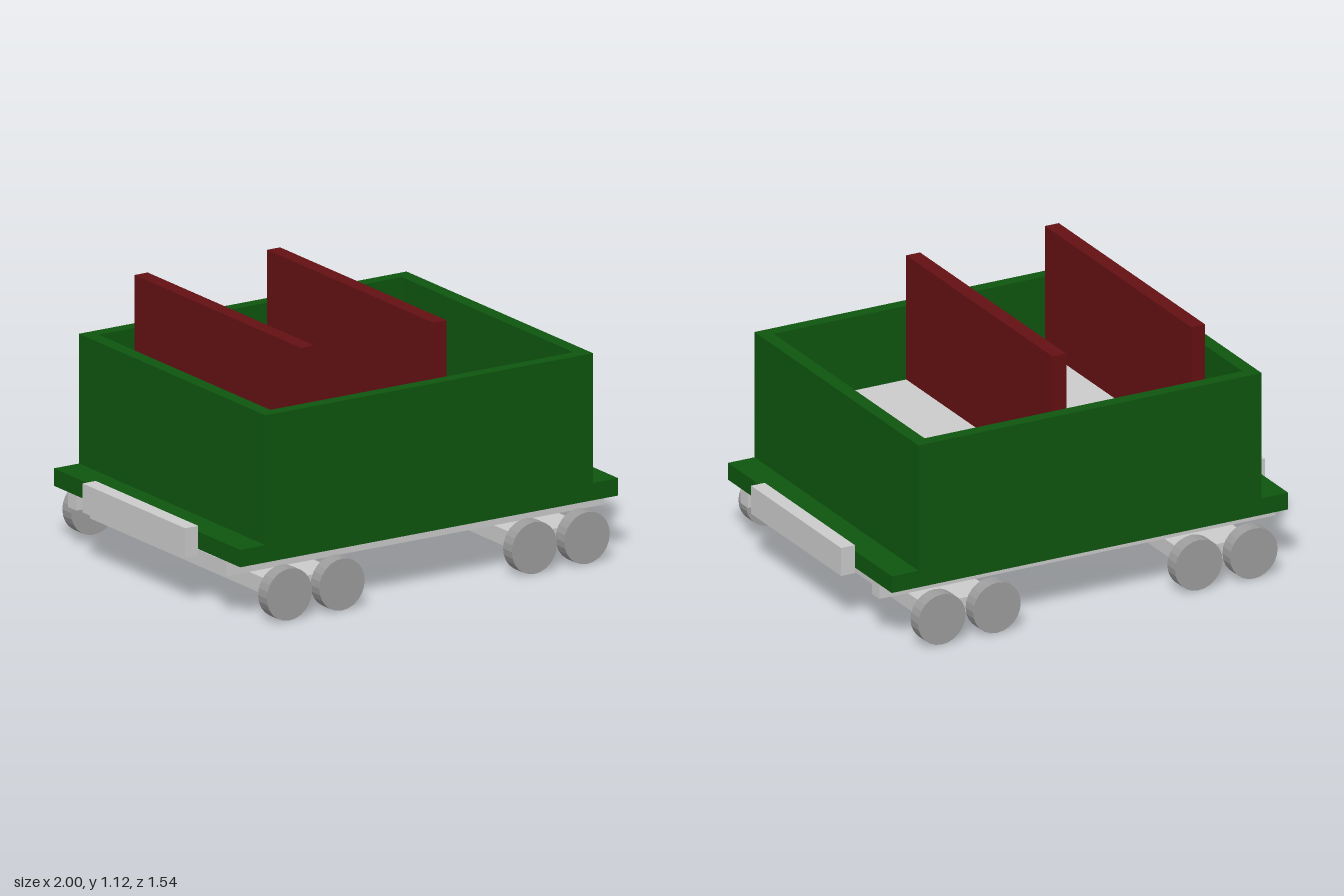
import * as THREE from 'three';

const grey = new THREE.MeshStandardMaterial({ color: 0xcccccc });
const wheelGrey = new THREE.MeshStandardMaterial({ color: 0x9d9d9d, flatShading: true });
const green = new THREE.MeshStandardMaterial({ color: 0x0f560f });
const red = new THREE.MeshStandardMaterial({ color: 0x641012 });

// Box given by its extents on each axis
function box(name, material, [x0, x1], [y0, y1], [z0, z1]) {
  const mesh = new THREE.Mesh(new THREE.BoxGeometry(x1 - x0, y1 - y0, z1 - z0), material);
  mesh.position.set((x0 + x1) / 2, (y0 + y1) / 2, (z0 + z1) / 2);
  mesh.name = name;
  return mesh;
}

function rectangle(PathType, hx, hz) {
  return new PathType([[-hx, -hz], [hx, -hz], [hx, hz], [-hx, hz]].map(([x, y]) => new THREE.Vector2(x, y)));
}

export function createModel() {
  const wagon = new THREE.Group();
  wagon.name = 'openWagon';

  // Floor and the open-topped body
  wagon.add(box('floor', green, [-0.935, 0.935], [0.245, 0.32], [-0.7, 0.7]));
  const outline = rectangle(THREE.Shape, 0.81, 0.7);
  outline.holes.push(rectangle(THREE.Path, 0.75, 0.645));
  const walls = new THREE.Mesh(
    new THREE.ExtrudeGeometry(outline, { depth: 0.56, bevelEnabled: false }).rotateX(-Math.PI / 2), green);
  walls.position.y = 0.32;
  walls.name = 'bodyWalls';
  wagon.add(walls);

  // Two benches with tall backrests
  for (const x of [-0.52, 0.135]) {
    wagon.add(box('seat', grey, [x, x + 0.375], [0.32, 0.56], [-0.625, 0.625]));
    wagon.add(box('backrest', red, [x - 0.065, x], [0.32, 1.115], [-0.625, 0.625]));
  }

  const wheelGeometry = new THREE.CylinderGeometry(0.112, 0.112, 0.066, 24).rotateX(Math.PI / 2);
  for (const side of [-1, 1]) {
    // Underframe rails and end buffer beams
    const z = side * 0.562;
    wagon.add(box('rail', grey, [-0.935, 0.935], [0.18, 0.245], [z - 0.032, z + 0.032]));
    const end = side * 0.9675;
    wagon.add(box('bufferBeam', grey, [end - 0.0325, end + 0.0325], [0.22, 0.345], [-0.385, 0.385]));

    // Bogie: flat cross beam with two wheels at each end
    const bogie = new THREE.Group();
    bogie.name = 'bogie';
    bogie.position.x = side * 0.606;
    bogie.add(box('crossBeam', grey, [-0.16, 0.16], [0.08, 0.15], [-0.685, 0.685]));
    for (const x of [-0.13, 0.13]) {
      for (const wz of [-0.735, 0.735]) {
        const wheel = new THREE.Mesh(wheelGeometry, wheelGrey);
        wheel.position.set(x, 0.112, wz);
        wheel.name = 'wheel';
        bogie.add(wheel);
      }
    }
    wagon.add(bogie);
  }
  return wagon;
}
